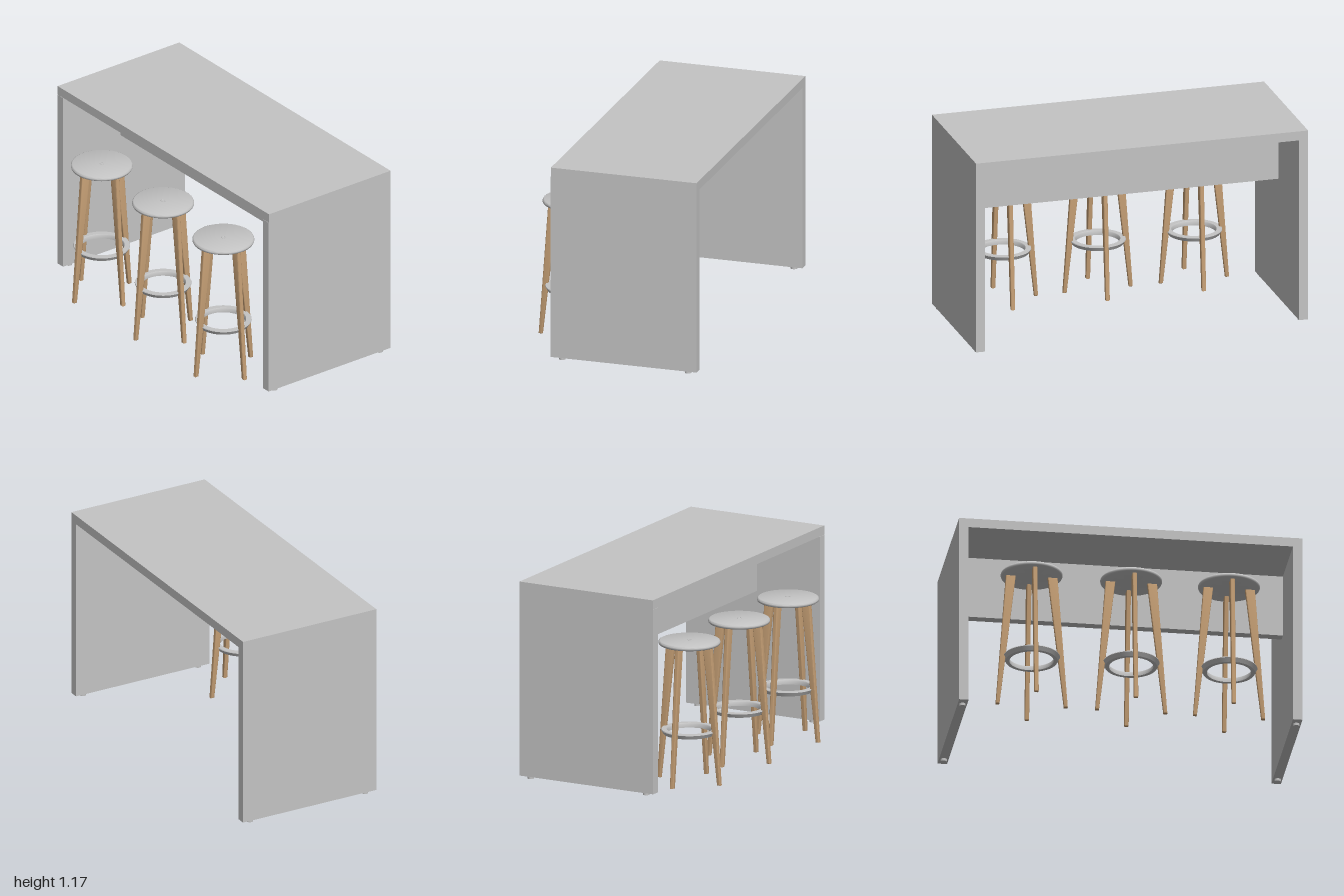
import * as THREE from 'three';
import { toCreasedNormals } from 'three/addons/utils/BufferGeometryUtils.js';

const grey = new THREE.MeshStandardMaterial({ name: 'light grey', color: 0xc4c4c4 });
const wood = new THREE.MeshStandardMaterial({ name: 'light wood', color: 0xc49e74 });

const add = (parent, name, geometry, material, x = 0, y = 0, z = 0) => {
  const mesh = new THREE.Mesh(geometry, material);
  mesh.name = name;
  mesh.position.set(x, y, z);
  parent.add(mesh);
  return mesh;
};

// Box given by its minimum and maximum corners
const block = (parent, name, [x0, y0, z0], [x1, y1, z1]) =>
  add(parent, name, new THREE.BoxGeometry(x1 - x0, y1 - y0, z1 - z0), grey,
    (x0 + x1) / 2, (y0 + y1) / 2, (z0 + z1) / 2);

const lathe = (points) => toCreasedNormals(
  new THREE.LatheGeometry(points.map(([r, y]) => new THREE.Vector2(r, y)), 48), 0.7);

// Tapered leg, profile in the radial plane, with softened edges
function legGeometry() {
  const width = 0.026, bevel = 0.006;
  const shape = new THREE.Shape([[0.188, 0], [0.21, 0], [0.15, 0.82], [0.093, 0.82]]
    .map(([r, y]) => new THREE.Vector2(r, y)));
  const geometry = new THREE.ExtrudeGeometry(shape, {
    depth: width - 2 * bevel, bevelEnabled: true, bevelThickness: bevel,
    bevelSize: bevel, bevelOffset: -bevel, bevelSegments: 3,
  });
  geometry.translate(0, 0, -width / 2 + bevel);
  return toCreasedNormals(geometry, 0.7);
}

function createTable() {
  const table = new THREE.Group();
  table.name = 'table';
  block(table, 'tableTop', [-1, 1.115, -0.55], [1, 1.17, 0.335]);
  block(table, 'crossPanel', [-0.945, 0.74, -0.135], [0.945, 1.115, -0.08]);
  const foot = new THREE.CylinderGeometry(0.019, 0.019, 0.016, 20);
  for (const side of [-1, 1]) {
    const panel = block(table, 'sidePanel', [-0.0275, 0.015, -0.55], [0.0275, 1.115, 0.337]);
    panel.position.x = side * 0.9725;
    for (const z of [0.275, -0.49]) add(table, 'glide', foot, grey, side * 0.9725, 0.008, z);
  }
  return table;
}

function createStools() {
  // Round seat with a softened rim, and a ring whose outer wall flares upward
  const seat = lathe([[0, 0.817], [0.171, 0.817], [0.176, 0.82], [0.179, 0.827],
    [0.179, 0.833], [0.176, 0.839], [0.17, 0.842], [0, 0.842]]);
  const ring = lathe([[0.15, 0.286], [0.164, 0.309], [0.162, 0.314], [0.132, 0.314],
    [0.128, 0.309], [0.128, 0.286], [0.15, 0.286]]);
  const stud = new THREE.TorusGeometry(0.012, 0.002, 6, 20).rotateX(Math.PI / 2);
  const leg = legGeometry();
  const stools = new THREE.Group();
  stools.name = 'stools';
  for (const x of [-0.578, 0.002, 0.572]) {
    const stool = new THREE.Group();
    stool.name = 'stool';
    stool.position.set(x, 0, 0.338);
    add(stool, 'seat', seat, grey);
    add(stool, 'seatStud', stud, grey, 0, 0.842, 0);
    add(stool, 'footRing', ring, grey);
    for (let i = 0; i < 4; i++) add(stool, 'stoolLeg', leg, wood).rotation.y = i * Math.PI / 2;
    stools.add(stool);
  }
  return stools;
}

export function createModel() {
  const model = new THREE.Group();
  model.name = 'barTableWithStools';
  model.add(createTable(), createStools());
  return model;
}
